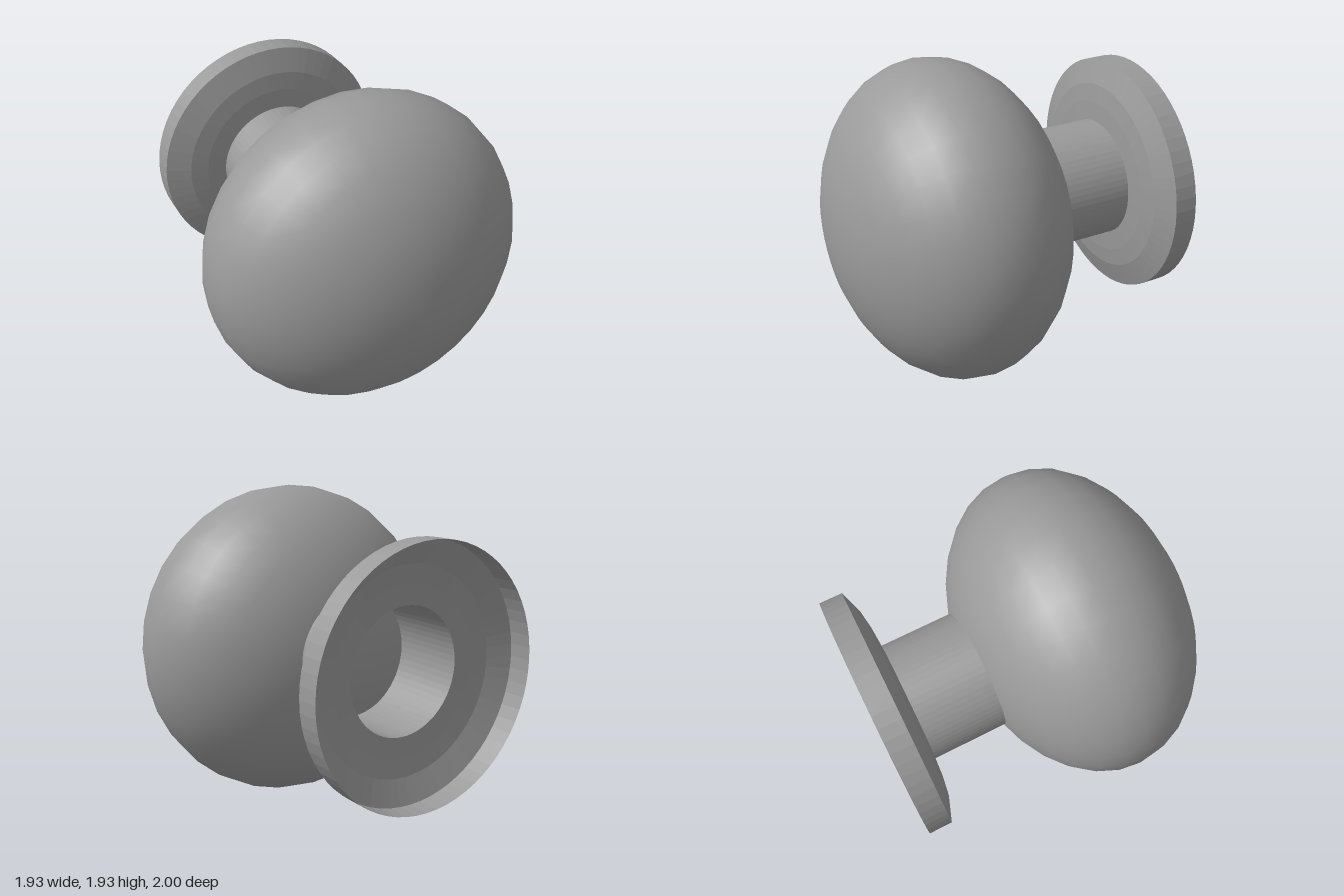
import * as THREE from 'three';

export function createModel() {
  const model = new THREE.Group();
  const grey = 0x9a9a9a;
  const material = new THREE.MeshStandardMaterial({ color: grey });
  const thinMaterial = new THREE.MeshStandardMaterial({ color: grey, side: THREE.DoubleSide, flatShading: true });

  // Flattened ball grip, its poles at the front and back
  const knob = new THREE.Mesh(new THREE.SphereGeometry(1, 32, 16), material);
  knob.name = 'knob';
  knob.rotation.x = Math.PI / 2;
  knob.scale.set(0.963, 0.692, 0.965);
  knob.position.set(0, 0.968, 0.306);
  model.add(knob);

  // Mount: hollow stem and open-backed plate, slightly off the knob's axis
  const mount = new THREE.Group();
  mount.name = 'mount';
  mount.rotation.x = Math.PI / 2;
  mount.position.set(-0.028, 0.986, 0);
  model.add(mount);

  // Each profile is a list of [radius, depth along z]
  function addShell(name, profile) {
    const points = profile.map(([r, z]) => new THREE.Vector2(r, z));
    const shell = new THREE.Mesh(new THREE.LatheGeometry(points, 64), thinMaterial);
    shell.name = name;
    mount.add(shell);
  }

  addShell('stem', [[0.37, -0.785], [0.37, -0.325]]);
  addShell('plateRim', [[0.747, -1], [0.747, -0.861]]);
  addShell('plateFace', [[0.747, -0.861], [0.6, -0.809], [0.49, -0.793], [0.37, -0.785]]);

  return model;
}
